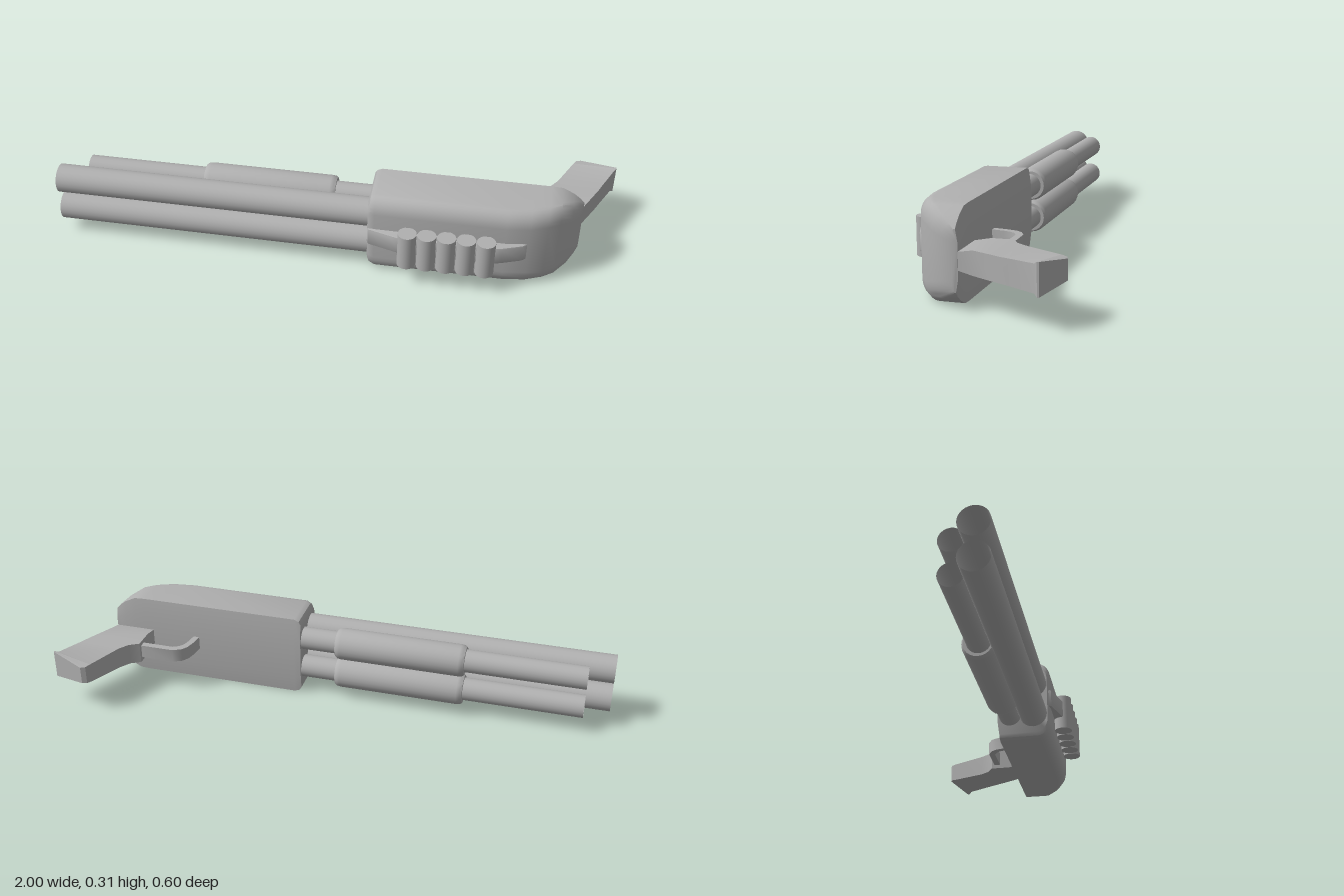
import * as THREE from 'three';
import { toCreasedNormals } from 'three/addons/utils/BufferGeometryUtils.js';

const MID = 0.156; // height of the symmetry plane

// Skin a list of closed rings and cap both ends
function loft(rings) {
  const n = rings[0].length, last = (rings.length - 1) * n, idx = [];
  for (let i = 0; i < rings.length - 1; i++) {
    for (let j = 0; j < n; j++) {
      const a = i * n + j, b = i * n + (j + 1) % n;
      idx.push(a, b, b + n, a, b + n, a + n);
    }
  }
  for (let j = 1; j < n - 1; j++) {
    idx.push(0, j + 1, j, last, last + j, last + j + 1);
  }
  const g = new THREE.BufferGeometry();
  g.setAttribute('position', new THREE.Float32BufferAttribute(rings.flat(2), 3));
  g.setIndex(idx);
  return toCreasedNormals(g, 0.6);
}

// Extrude an outline given in x and z over a height centred on the symmetry plane
function slab(points, height, bevel = 0) {
  const shape = new THREE.Shape(points.map(([x, z]) => new THREE.Vector2(x, -z)));
  const g = new THREE.ExtrudeGeometry(shape, {
    depth: height - 2 * bevel, bevelEnabled: bevel > 0,
    bevelSize: bevel, bevelOffset: -bevel, bevelThickness: bevel, bevelSegments: 2,
  });
  g.rotateX(-Math.PI / 2).translate(0, MID - height / 2 + bevel, 0);
  return toCreasedNormals(g, 0.6);
}

// Rounded cross-section of the receiver at one station
function bodyRing([x, h, zMax]) {
  const rz = Math.min(0.045, (zMax - 0.042) * 0.7), ry = Math.min(0.06, h * 0.4);
  const half = [[0.035, h * 0.6], [0.042, h]];
  for (let i = 0; i <= 6; i++) {
    const a = (i / 6) * Math.PI / 2;
    half.push([zMax - rz + rz * Math.sin(a), h - ry + ry * Math.cos(a)]);
  }
  const mirrored = half.map(([z, y]) => [z, -y]).reverse();
  return [...half, ...mirrored].map(([z, y]) => [x, MID + y, z]);
}

export function createModel() {
  const group = new THREE.Group();
  const steel = new THREE.MeshStandardMaterial({ color: 0xb0b0b0, side: THREE.DoubleSide });
  steel.name = 'grey steel';
  const add = (name, geometry) => {
    const mesh = new THREE.Mesh(geometry, steel);
    mesh.name = name;
    group.add(mesh);
    return mesh;
  };

  // Open tube running along x
  const tube = (name, x0, x1, r, y, z) => {
    const g = new THREE.CylinderGeometry(r, r, x1 - x0, 24, 1, true);
    add(name, g.rotateZ(Math.PI / 2).translate((x0 + x1) / 2, y, z));
  };

  // Barrels, magazine tubes and sliding fore grips, one set per side
  for (const [side, y] of [['upper', MID + 0.06], ['lower', MID - 0.06]]) {
    tube(side + 'Barrel', -1, 0.16, 0.052, y, 0.171);
    tube(side + 'MagazineTube', -0.91, 0.16, 0.042, y, 0.083);
    const profile = [
      [0.04, -0.24], [0.052, -0.24], [0.057, -0.233], [0.059, -0.22],
      [0.059, 0.22], [0.057, 0.233], [0.052, 0.24], [0.04, 0.24],
    ].map(([r, t]) => new THREE.Vector2(r, t));
    const pump = toCreasedNormals(new THREE.LatheGeometry(profile, 24), 0.7);
    add(side + 'ForeGrip', pump.rotateZ(Math.PI / 2).translate(-0.233, y, 0.08));
  }

  // Receiver: x, half height, top z
  add('receiver', loft([
    [0.14, 0.135, 0.225], [0.147, 0.147, 0.231], [0.165, 0.155, 0.235],
    [0.62, 0.155, 0.235], [0.7, 0.155, 0.224], [0.76, 0.155, 0.199],
    [0.8, 0.153, 0.172], [0.84, 0.133, 0.133], [0.865, 0.113, 0.092],
    [0.878, 0.098, 0.055],
  ].map(bodyRing)));

  // Shell carrier with its row of shells
  add('shellCarrier', slab([
    [0.14, 0.23], [0.145, 0.24], [0.23, 0.264], [0.26, 0.272],
    [0.58, 0.272], [0.61, 0.264], [0.68, 0.238], [0.7, 0.22],
  ], 0.068, 0.006));
  for (let i = 0; i < 5; i++) {
    const g = new THREE.CylinderGeometry(0.033, 0.033, 0.134, 20);
    add('shell', g.translate(0.285 + i * 0.068, 0.145, 0.266));
  }

  // Handle: front x, z, half width, then back x, z, half width
  add('handle', loft([
    [0.73, 0.045, 0.027, 0.875, 0.045, 0.027],
    [0.73, -0.02, 0.04, 0.885, -0.015, 0.039],
    [0.73, -0.095, 0.04, 0.92, -0.085, 0.04],
    [0.765, -0.115, 0.04, 0.935, -0.115, 0.04],
    [0.79, -0.15, 0.04, 0.948, -0.145, 0.041],
    [0.845, -0.275, 0.036, 0.99, -0.236, 0.044],
    [0.855, -0.295, 0.034, 1, -0.247, 0.052],
    [0.872, -0.302, 0.033, 1, -0.253, 0.052],
  ].map(([xf, zf, hf, xb, zb, hb]) => [
    [xf, MID + hf, zf], [xb, MID + hb, zb], [xb, MID - hb, zb], [xf, MID - hf, zf],
  ])));

  // Trigger guard strap
  add('triggerGuard', slab([
    [0.542, 0.045], [0.549, -0.01], [0.558, -0.045], [0.573, -0.067], [0.605, -0.083],
    [0.74, -0.083], [0.74, -0.059], [0.612, -0.059], [0.59, -0.047], [0.578, -0.03],
    [0.571, -0.005], [0.564, 0.045],
  ], 0.05));

  return group;
}
